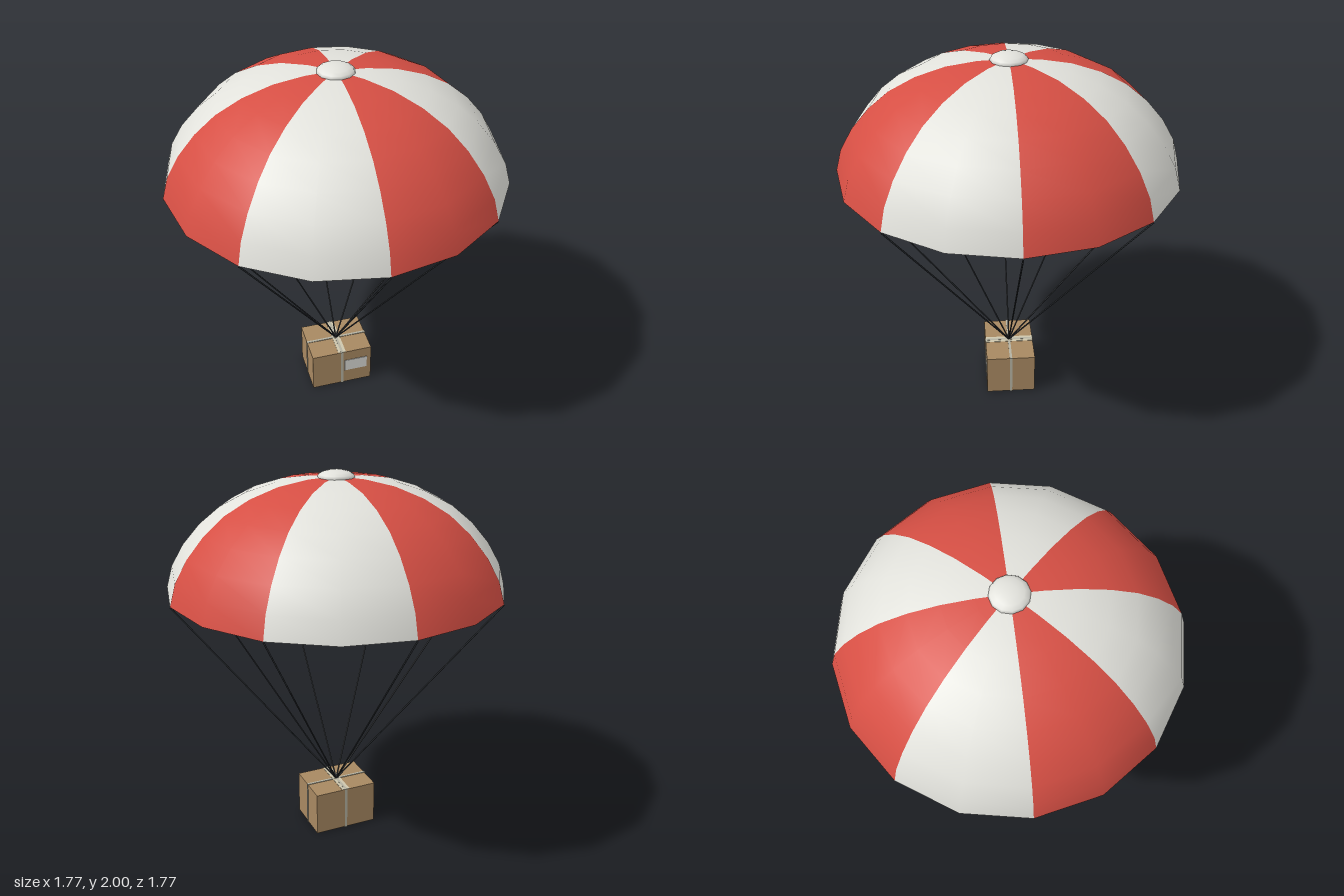
import * as THREE from 'three';

const flat = (name, color, side = THREE.FrontSide) => {
  const m = new THREE.MeshStandardMaterial({ color, side });
  m.name = name;
  return m;
};

export function createModel() {
  const red = flat('canopy red', 0xd64f44, THREE.DoubleSide);
  const white = flat('canopy white', 0xe2e2dc, THREE.DoubleSide);
  const cord = flat('cord charcoal', 0x2c3034);
  const cardboard = flat('cardboard', 0xa78861);
  const strapGrey = flat('strap grey', 0xb4b2a2);
  const tapeBeige = flat('tape beige', 0xcdc6ac);
  const paper = flat('label paper', 0xd6d6d2);

  const group = new THREE.Group();
  group.name = 'parachuteCrate';
  const add = (name, geometry, material, x = 0, y = 0, z = 0) => {
    const mesh = new THREE.Mesh(geometry, material);
    mesh.name = name;
    mesh.position.set(x, y, z);
    group.add(mesh);
    return mesh;
  };

  // Canopy: eight gores, two facets each, in alternating colours
  const profile = [
    [0.88, 1.4], [0.848, 1.513], [0.784, 1.624], [0.694, 1.73], [0.588, 1.818],
    [0.456, 1.888], [0.307, 1.937], [0.154, 1.961], [0, 1.968],
  ].map(([r, y]) => new THREE.Vector2(r, y));
  const gore = Math.PI / 4;
  for (let i = 0; i < 8; i++) {
    add('canopyGore' + (i + 1), new THREE.LatheGeometry(profile, 2, i * gore, gore), i % 2 ? white : red);
  }

  // Crown cap: flattened ball on the apex
  const cap = new THREE.SphereGeometry(0.095, 12, 8);
  cap.scale(1, 0.36, 1);
  add('crownCap', cap, white, 0, 1.966, 0);

  // Cords from the rim at every seam down to the crate
  const knot = new THREE.Vector3(0, 0.245, 0);
  for (let i = 0; i < 8; i++) {
    const rim = new THREE.Vector3(0.88 * Math.sin(i * gore), 1.4, 0.88 * Math.cos(i * gore));
    const line = new THREE.LineCurve3(knot, rim);
    add('cord' + (i + 1), new THREE.TubeGeometry(line, 1, 0.0042, 6), cord);
  }

  // Crate
  const W = 0.352, H = 0.242, D = 0.274, mid = 0.003 + H / 2;
  add('crate', new THREE.BoxGeometry(W, H, D), cardboard, 0, mid, 0);

  // Two straps wrapped round the crate, crossing above and below
  const t = 0.003, w = 0.014;
  for (const s of [-1, 1]) {
    add('strapFace', new THREE.BoxGeometry(w, H + 2 * t, t), strapGrey, 0, mid, s * (D + t) / 2);
    add('strapSide', new THREE.BoxGeometry(t, H + 2 * t, w), strapGrey, s * (W + t) / 2, mid, 0);
    const y = mid + s * (H + t) / 2;
    add('strapLengthwise', new THREE.BoxGeometry(W, t, w), strapGrey, 0, y, 0);
    add('strapCrosswise', new THREE.BoxGeometry(w, t * 0.9, D), strapGrey, 0, y, 0);
  }

  // Sealing tape on the lid and label on the front
  add('sealingTape', new THREE.BoxGeometry(0.045, 0.002, D), tapeBeige, 0, mid + H / 2 + 0.001, 0);
  add('label', new THREE.BoxGeometry(0.135, 0.08, 0.003), paper, 0.083, 0.138, D / 2 + 0.0015);

  return group;
}
